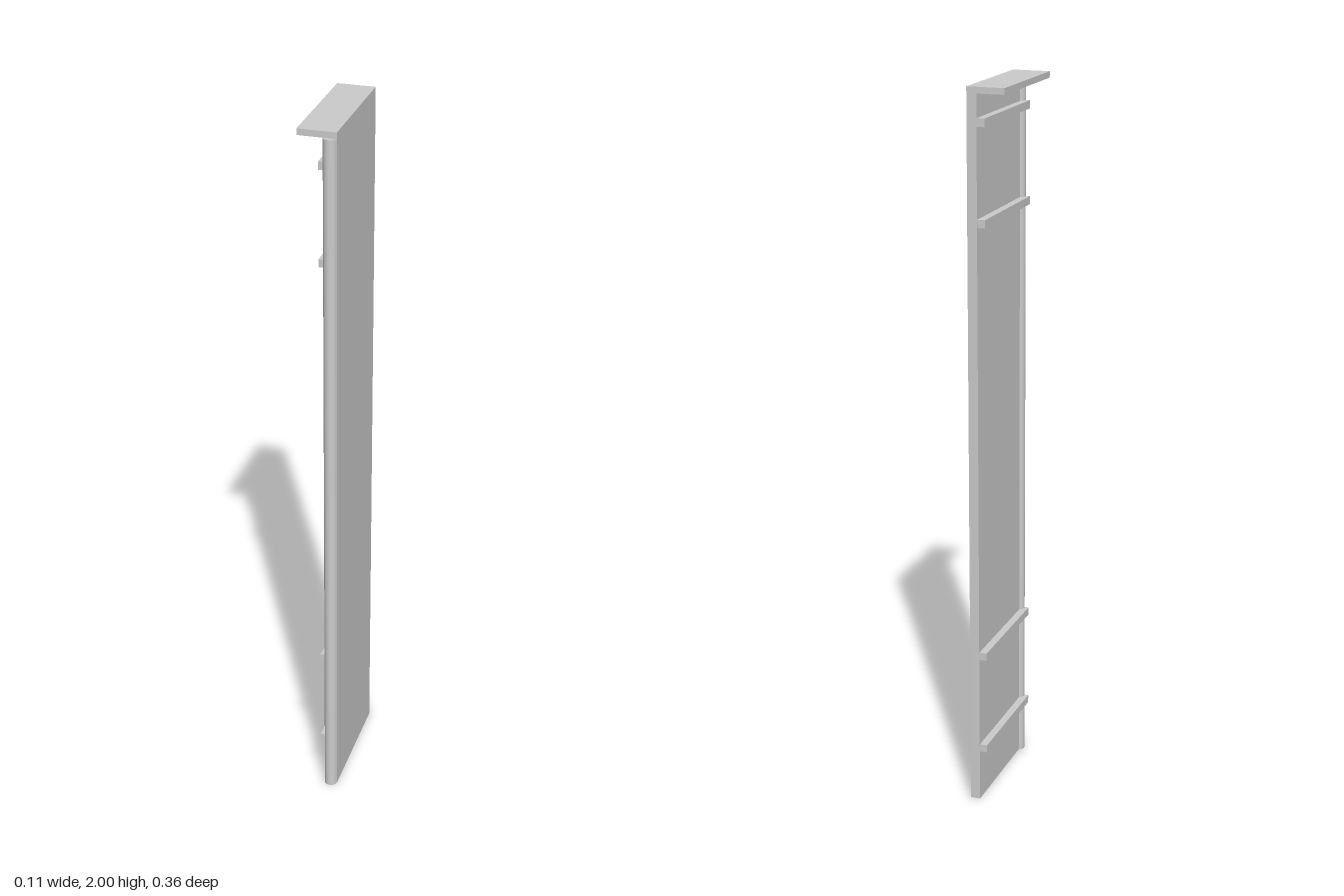
import * as THREE from 'three';

const material = new THREE.MeshStandardMaterial({ color: 0xcccccc });

// Box given by its lower and upper limits on each axis
function box(name, [x0, x1], [y0, y1], [z0, z1]) {
  const mesh = new THREE.Mesh(new THREE.BoxGeometry(x1 - x0, y1 - y0, z1 - z0), material);
  mesh.name = name;
  mesh.position.set((x0 + x1) / 2, (y0 + y1) / 2, (z0 + z1) / 2);
  return mesh;
}

export function createModel() {
  const group = new THREE.Group();
  group.name = 'doorPanel';

  // Flat parts stand at a very slight turn to the axes
  const door = new THREE.Group();
  door.name = 'door';
  door.rotation.y = -0.012;
  group.add(door);

  door.add(box('panel', [0.023, 0.05], [0.002, 1.983], [-0.182, 0.166]));
  door.add(box('topCap', [-0.053, 0.05], [1.983, 2], [-0.182, 0.167]));

  // Cross rails on the inner face
  for (const y of [0.16, 0.44, 1.65, 1.91]) {
    door.add(box('crossRail', [0.002, 0.024], [y - 0.011, y + 0.011], [-0.18, 0.167]));
  }

  // Round post along the front edge
  const height = 1.983;
  const post = new THREE.Mesh(new THREE.CylinderGeometry(0.018, 0.018, height, 32), material);
  post.name = 'roundPost';
  post.position.set(0.029, height / 2, 0.162);
  group.add(post);

  return group;
}
